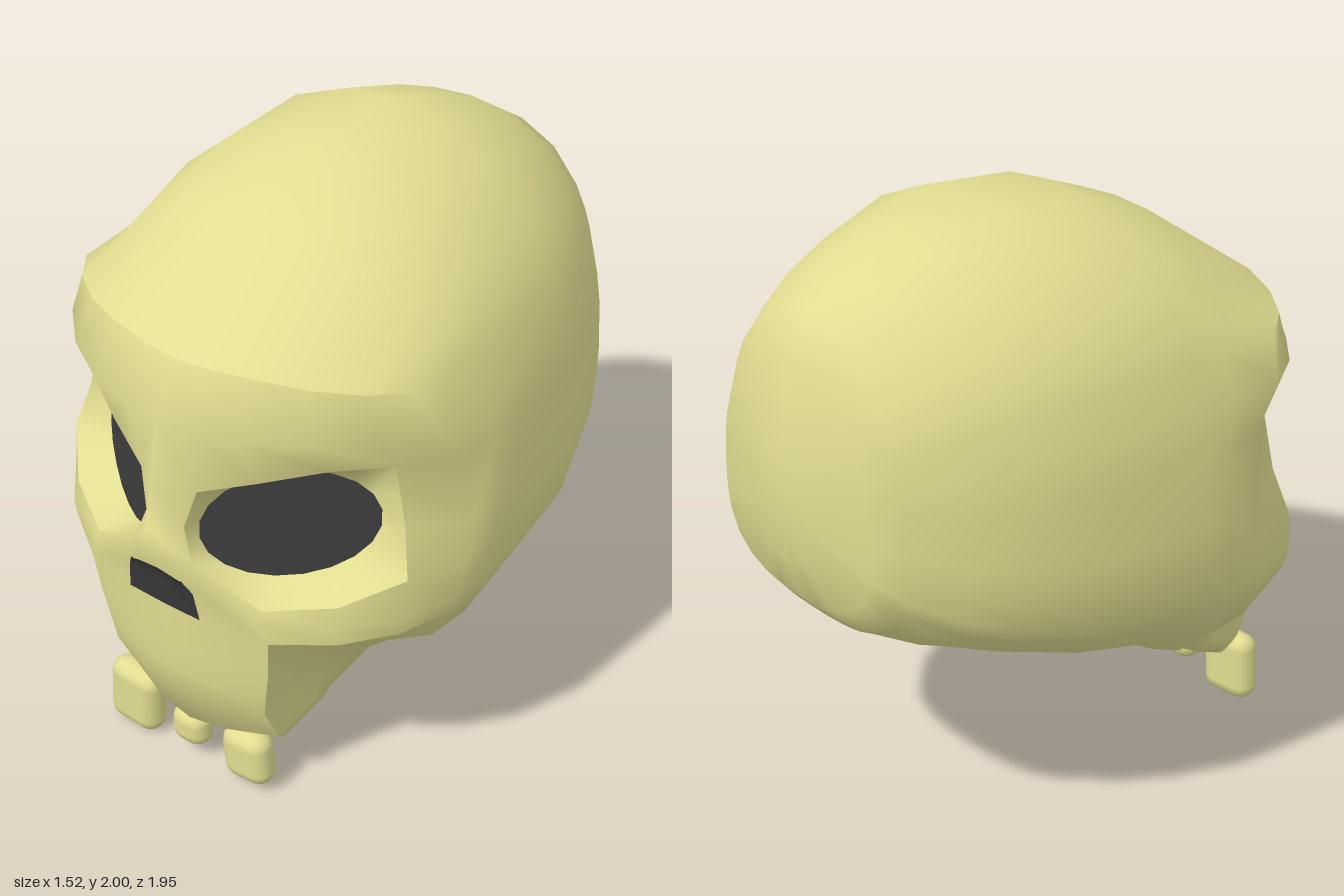
import * as THREE from 'three';
import { mergeGeometries } from 'three/addons/utils/BufferGeometryUtils.js';
import { RoundedBoxGeometry } from 'three/addons/geometries/RoundedBoxGeometry.js';

const { lerp } = THREE.MathUtils;

// One row of the left half face: middle, front corner, side edge; bulge rounds the cheek
function faceRow(mid, corner, edge, bulge) {
  const inner = [lerp(mid[0], corner[0], .42), lerp(mid[1], corner[1], .42), lerp(mid[2], corner[2], .18)];
  const outer = (t) => [
    lerp(corner[0], edge[0], t) + bulge * 1.2,
    lerp(corner[1], edge[1], t),
    lerp(corner[2], edge[2], t) + bulge * .7,
  ];
  return [mid, inner, corner, outer(1 / 3), outer(2 / 3), edge];
}

// Rows through the eye opening; empty places are the opening itself
const EYE_TOP = [[0, 1.18, .9], [.11, 1.17, .82], [.28, 1.235, .75], [.46, 1.29, .63], [.59, 1.28, .48], [.725, 1.28, .3]];
const EYE_MID = [[0, 1.06, .93], [.075, 1.04, .845], null, null, [.635, 1.08, .49], [.745, 1.05, .3]];
const EYE_LOW = [[0, .98, .975], [.115, .93, .86], [.33, .815, .8], [.53, .85, .68], [.675, .93, .53], [.748, .93, .33]];

// Face grid from forehead to jaw
const CHEEK = 6;
const FACE = [
  faceRow([0, 1.575, .775], [.25, 1.59, .745], [.64, 1.55, .46], .032), // brow edge
  faceRow([0, 1.4, .865], [.28, 1.42, .82], [.7, 1.42, .42], .035),
  EYE_TOP,
  EYE_MID,
  EYE_LOW,
  faceRow([0, .87, .87], [.33, .77, .82], [.745, .8, .35], .055),
  faceRow([0, .73, .86], [.36, .705, .805], [.725, .735, .36], .045), // cheekbone edge
  faceRow([0, .57, .865], [.345, .56, .79], [.65, .6, .36], -.025),
  faceRow([0, .47, .86], [.325, .46, .78], [.49, .515, .37], -.01),
  faceRow([0, .38, .85], [.31, .37, .77], [.385, .42, .4], 0),
  faceRow([0, .2, .78], [.31, .23, .7], [.35, .32, .5], 0),
  faceRow([0, .14, .7], [.29, .19, .655], [.33, .27, .5], 0), // chin underside
];

// Cranium sections: z, top, bottom, half width, centre height
const SECTIONS = [
  [-.955, 1.35, 1.0, .13, 1.18],
  [-.91, 1.62, .86, .37, 1.15],
  [-.84, 1.76, .78, .445, 1.1],
  [-.7, 1.85, .715, .555, 1.05],
  [-.53, 1.92, .655, .64, 1.02],
  [-.27, 2.0, .565, .73, 1],
  [.08, 1.97, .46, .76, 1],
  [null, 1.86, .375, .757, 1], // bends toward the face border
];

// Collects points and faces of one half, then mirrors it across x = 0
function halfBuilder() {
  const pos = [], index = [];
  return {
    pos,
    add: (p) => pos.push(p) - 1,
    quad: (a, b, c, d) => index.push(a, b, c, a, c, d),
    tri: (a, b, c) => index.push(a, b, c),
    build() {
      const half = new THREE.BufferGeometry();
      half.setAttribute('position', new THREE.Float32BufferAttribute(pos.flat(), 3));
      half.setIndex(index);
      half.computeVertexNormals();
      // keep the middle seam smooth
      const n = half.attributes.normal, v = new THREE.Vector3();
      pos.forEach((p, i) => {
        if (p[0] !== 0) return;
        v.fromBufferAttribute(n, i).setX(0).normalize();
        n.setXYZ(i, v.x, v.y, v.z);
      });
      const other = half.clone().scale(-1, 1, 1);
      const flipped = [];
      for (let i = 0; i < index.length; i += 3) flipped.push(index[i], index[i + 2], index[i + 1]);
      other.setIndex(flipped);
      return mergeGeometries([half, other]);
    },
  };
}

// Point of a rounded section at a given angle, squarer below than above
function sectionPoint([, top, bottom, w, cy], angle, z) {
  const c = Math.cos(angle), s = Math.sin(angle);
  const [h, n] = s > 0 ? [top - cy, 2.35] : [cy - bottom, 2.7];
  const r = Math.pow(Math.pow(Math.abs(c) / w, n) + Math.pow(Math.abs(s) / h, n), -1 / n);
  return [Math.abs(c) < 1e-6 ? 0 : r * c, cy + r * s, z];
}

function skullGeometry() {
  const b = halfBuilder();
  const ids = FACE.map((row) => row.map((p) => (p ? b.add(p) : -1)));
  const last = FACE.length - 1;
  const copy = (id) => b.add(b.pos[id]);
  // sharp brow, cheekbone and jaw corner edges use their own copies of the points
  const lower = ids.map((row, r) => row.map((id, c) =>
    ((r === 0 && c < 5) || (r === CHEEK && c > 2 && c < 5)) ? copy(id) : id));
  const jawCorner = ids.map((row, r) => (r >= CHEEK ? copy(row[2]) : row[2]));
  for (let r = 0; r < last; r++) {
    for (let c = 0; c < 5; c++) {
      if ((r === 2 || r === 3) && c >= 1 && c <= 3) continue; // eye opening
      const sharp = c === 2 && r >= CHEEK;
      b.quad(sharp ? jawCorner[r] : lower[r][c], sharp ? jawCorner[r + 1] : ids[r + 1][c],
        ids[r + 1][c + 1], lower[r][c + 1]);
    }
  }
  // border of the face, from forehead round the side to the chin
  const border = [...ids[0], ...ids.slice(1).map((row) => row[5]), ...ids[last].slice(0, 5).reverse()];
  const angles = border.map((id) => Math.atan2(b.pos[id][1] - 1, b.pos[id][0]));
  const loops = SECTIONS.map((s) => border.map((id, j) => {
    const z = s[0] === null ? lerp(.08, b.pos[id][2], .42) : s[0];
    return b.add(sectionPoint(s, angles[j], z));
  }));
  loops.push(border);
  const pole = b.add([0, 1.19, -.975]);
  for (let j = 0; j < border.length - 1; j++) {
    b.tri(pole, loops[0][j], loops[0][j + 1]);
    for (let k = 0; k < loops.length - 1; k++) {
      const p = loops[k], q = loops[k + 1];
      b.quad(p[j], q[j], q[j + 1], p[j + 1]);
    }
  }
  return b.build();
}

// Floor of the eye socket: a tilted ellipse on a plane slanting back to the side and top
const floorPoint = (x, y) => [x, y, .83 - .62 * x - .28 * (y - 1.04)];
const eyeFloor = Array.from({ length: 20 }, (_, i) => {
  const a = THREE.MathUtils.degToRad(150 - 18 * i), tilt = .2;
  const u = .235 * Math.cos(a), v = .167 * Math.sin(a);
  return floorPoint(.314 + u * Math.cos(tilt) - v * Math.sin(tilt), 1.04 + u * Math.sin(tilt) + v * Math.cos(tilt));
});

function socketGeometry() {
  const b = halfBuilder();
  const corners = [...EYE_TOP.slice(1, 5), EYE_MID[4], ...EYE_LOW.slice(1, 5).reverse(), EYE_MID[1]];
  const rim = corners.flatMap((p, i) => {
    const next = corners[(i + 1) % corners.length];
    return [b.add(p), b.add(p.map((value, k) => lerp(value, next[k], .5)))];
  });
  const inner = eyeFloor.map(b.add);
  rim.forEach((id, i) => {
    const j = (i + 1) % rim.length;
    b.quad(id, inner[i], inner[j], rim[j]);
  });
  return b.build();
}

function eyeFloorGeometry() {
  const b = halfBuilder();
  const centre = b.add(floorPoint(.314, 1.04));
  const ring = eyeFloor.map(b.add);
  ring.forEach((id, i) => b.tri(centre, ring[(i + 1) % ring.length], id));
  return b.build();
}

// Thin dark patch following the underside of the nose: y, half width, z in the middle, z at the side
function noseGeometry() {
  const b = halfBuilder();
  const rows = [[.922, .055, .926, .932], [.88, .1, .882, .889], [.83, .128, .868, .868], [.73, .142, .861, .858]]
    .map(([y, x, z0, z1]) => [b.add([0, y, z0 + .009]), b.add([x, y, z1 + .009])]);
  for (let r = 0; r < 3; r++) b.quad(rows[r][0], rows[r + 1][0], rows[r + 1][1], rows[r][1]);
  return b.build();
}

export function createModel() {
  const bone = new THREE.MeshStandardMaterial({ color: 0xe0dc90 });
  bone.name = 'bone';
  const dark = new THREE.MeshStandardMaterial({ color: 0x383838 });
  dark.name = 'dark hollow';

  const model = new THREE.Group();
  model.name = 'skull';
  const add = (name, geometry, material) => {
    const mesh = new THREE.Mesh(geometry, material);
    mesh.name = name;
    model.add(mesh);
    return mesh;
  };
  add('head', skullGeometry(), bone);
  add('eyeSockets', socketGeometry(), bone);
  add('eyeHollows', eyeFloorGeometry(), dark);
  add('noseHollow', noseGeometry(), dark);

  // Three uneven teeth: x, y, width, height, tilt
  const teeth = [[-.272, .125, .205, .245, -.06], [-.035, .12, .14, .14, 0], [.203, .12, .18, .195, .08]];
  for (const [x, y, w, h, tilt] of teeth) {
    const tooth = add('tooth', new RoundedBoxGeometry(w, h, .105, 2, .052), bone);
    tooth.position.set(x, y, .725);
    tooth.rotation.z = tilt;
  }
  return model;
}
